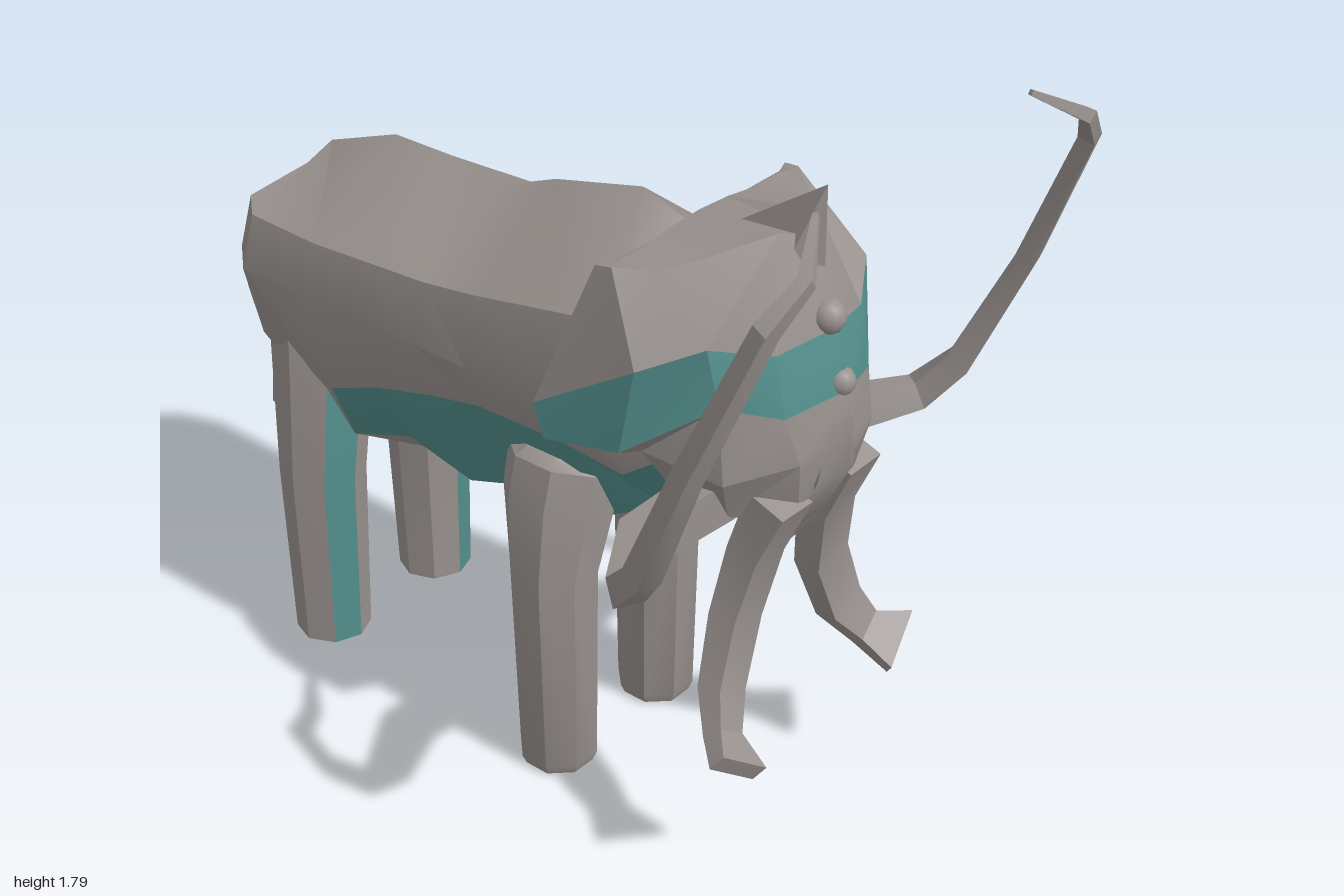
import * as THREE from 'three';
import { toCreasedNormals } from 'three/addons/utils/BufferGeometryUtils.js';

const hide = new THREE.MeshStandardMaterial({ color: 0x99928f });
hide.name = 'grey hide';
const teal = new THREE.MeshStandardMaterial({ color: 0x538f8c });
teal.name = 'teal band';

// Skin a list of equal-length rings; painted(i, j) picks the teal faces. side = -1 mirrors in x.
function loft(name, rings, { painted = () => false, side = 1, crease = 0.55 } = {}) {
  const faces = [[], []];
  const tri = (k, a, b, c) => {
    for (const p of side > 0 ? [a, b, c] : [a, c, b]) faces[k].push(p[0] * side, p[1], p[2]);
  };
  const n = rings[0].length;
  for (let i = 0; i < rings.length - 1; i++) {
    for (let j = 0; j < n; j++) {
      const k = painted(i, j) ? 1 : 0, m = (j + 1) % n;
      tri(k, rings[i][j], rings[i][m], rings[i + 1][m]);
      tri(k, rings[i][j], rings[i + 1][m], rings[i + 1][j]);
    }
  }
  // End caps
  const middle = (ring) => [0, 1, 2].map((a) => ring.reduce((s, p) => s + p[a], 0) / n);
  const first = rings[0], last = rings[rings.length - 1];
  for (let j = 0; j < n; j++) {
    tri(0, middle(first), first[(j + 1) % n], first[j]);
    tri(0, middle(last), last[j], last[(j + 1) % n]);
  }
  const g = new THREE.BufferGeometry();
  g.setAttribute('position', new THREE.Float32BufferAttribute([...faces[0], ...faces[1]], 3));
  const split = faces[0].length / 3;
  g.addGroup(0, split, 0);
  if (faces[1].length) g.addGroup(split, faces[1].length / 3, 1);
  const mesh = new THREE.Mesh(toCreasedNormals(g, crease), faces[1].length ? [hide, teal] : hide);
  mesh.name = name;
  return mesh;
}

// Half outline (x >= 0) to a full symmetric ring
const mirrorRing = (half) => [
  ...half.map(([x, y, z]) => [-x, y, z]),
  ...half.filter((p) => p[0] > 0).reverse(),
];

// Sweep a polygon along a path of [x, y, z, halfWidth, halfDepth]; twist turns the polygon
function sweep(name, path, sides, { twist = 0, ...options } = {}) {
  const pts = path.map((p) => new THREE.Vector3(p[0], p[1], p[2]));
  const u = new THREE.Vector3(1, 0, 0);
  if (Math.abs(pts[1].x - pts[0].x) > 0.1) u.set(0, 1, 0);
  const rings = path.map((p, i) => {
    const t = pts[Math.min(i + 1, pts.length - 1)].clone().sub(pts[Math.max(i - 1, 0)]).normalize();
    u.addScaledVector(t, -u.dot(t)).normalize();
    const v = t.clone().cross(u);
    return Array.from({ length: sides }, (_, j) => {
      const a = ((j + 0.5) / sides) * Math.PI * 2 + twist, k = 1 / Math.cos(Math.PI / sides);
      return pts[i].clone().addScaledVector(u, Math.cos(a) * p[3] * k)
        .addScaledVector(v, Math.sin(a) * (p[4] ?? p[3]) * k).toArray();
    });
  });
  return loft(name, rings, options);
}

function makeBody() {
  // z, ridge y, shoulder x y, flank x y, band top x y, band bottom x y, keel y
  const stations = [
    [-0.85, 1.22, 0.2, 1.2, 0.24, 1.08, 0.23, 0.97, 0.18, 0.93, 0.92],
    [-0.77, 1.3, 0.27, 1.2, 0.31, 1.07, 0.26, 0.88, 0.21, 0.8, 0.8],
    [-0.55, 1.38, 0.28, 1.2, 0.31, 1.07, 0.25, 0.8, 0.18, 0.64, 0.62],
    [-0.38, 1.38, 0.28, 1.21, 0.31, 1.07, 0.26, 0.87, 0.16, 0.69, 0.57],
    [-0.2, 1.36, 0.28, 1.22, 0.31, 1.07, 0.265, 0.92, 0.14, 0.63, 0.56],
    [-0.05, 1.42, 0.28, 1.24, 0.31, 1.07, 0.265, 0.95, 0.14, 0.68, 0.64],
    [0.2, 1.48, 0.27, 1.28, 0.3, 1.08, 0.26, 0.95, 0.12, 0.69, 0.66],
    [0.35, 1.43, 0.26, 1.3, 0.28, 1.08, 0.24, 0.92, 0.08, 0.76, 0.73],
    [0.47, 1.36, 0.2, 1.25, 0.22, 1.1, 0.19, 1.0, 0.06, 0.95, 0.94],
  ];
  const rings = stations.map(([z, top, ax, ay, bx, by, cx, cy, dx, dy, keel]) =>
    mirrorRing([[0, top, z], [ax, ay, z], [bx, by, z], [cx, cy, z], [dx, dy, z], [0, keel, z]]));
  return loft('body', rings, {
    painted: (i, j) => i >= 2 && (j === 3 || j === 6 || (i >= 6 && (j === 4 || j === 5))),
  });
}

function makeHead() {
  // Rows from crown to chin; columns from face centre round the ear to the neck
  const rows = [
    [[0, 1.475, 0.355], [0.1, 1.47, 0.355], [0.2, 1.46, 0.36], [0.28, 1.46, 0.355], [0.3, 1.455, 0.345], [0.24, 1.44, 0.36]],
    [[0, 1.51, 0.64], [0.07, 1.53, 0.615], [0.25, 1.46, 0.46], [0.32, 1.47, 0.38], [0.325, 1.465, 0.34], [0.24, 1.4, 0.37]],
    [[0, 1.32, 0.72], [0.15, 1.3, 0.68], [0.28, 1.34, 0.6], [0.365, 1.28, 0.48], [0.375, 1.11, 0.21], [0.335, 1.13, 0.21]],
    [[0, 1.19, 0.765], [0.15, 1.16, 0.71], [0.26, 1.2, 0.62], [0.375, 1.08, 0.45], [0.385, 1.04, 0.25], [0.34, 1.05, 0.25]],
    [[0, 1.08, 0.775], [0.13, 1.05, 0.74], [0.25, 1.01, 0.63], [0.3, 1.05, 0.45], [0.33, 1.04, 0.27], [0.22, 1.04, 0.36]],
    [[0, 0.97, 0.755], [0.1, 0.93, 0.72], [0.2, 0.9, 0.61], [0.22, 0.93, 0.47], [0.2, 0.98, 0.42], [0.15, 0.98, 0.42]],
    [[0, 0.78, 0.63], [0.05, 0.8, 0.62], [0.09, 0.83, 0.57], [0.11, 0.87, 0.49], [0.1, 0.92, 0.44], [0.08, 0.92, 0.44]],
  ];
  const head = new THREE.Group();
  head.name = 'head';
  head.add(loft('skull', rows.map(mirrorRing), {
    crease: 0.4, painted: (i, j) => i === 2 && (j < 4 || j > 6),
  }));

  // Crest horn with a long sloping back
  head.add(loft('crestHorn', [
    [[0, 1.635, 0.68], [0.001, 1.635, 0.68], [0, 1.635, 0.68]],
    [[0, 1.45, 0.685], [0.05, 1.47, 0.63], [0, 1.45, 0.41]],
  ].map(mirrorRing), { crease: 0.1 }));

  // Nose ridge between the trunks
  head.add(loft('noseRidge', [
    [[0, 1.13, 0.775], [0.04, 1.12, 0.755], [0.04, 1.1, 0.65]],
    [[0, 1.0, 0.78], [0.07, 0.98, 0.745], [0.07, 0.96, 0.62]],
    [[0, 0.87, 0.715], [0.055, 0.86, 0.69], [0.05, 0.85, 0.57]],
    [[0, 0.75, 0.63], [0.02, 0.77, 0.62], [0.02, 0.79, 0.58]],
  ].map(mirrorRing)));

  // Forehead studs
  for (const [y, z, r] of [[1.34, 0.7, 0.04], [1.2, 0.74, 0.034]]) {
    const stud = new THREE.Mesh(new THREE.SphereGeometry(r, 12, 8), hide);
    stud.name = 'foreheadStud';
    stud.position.set(0, y, z);
    head.add(stud);
  }
  return head;
}

export function createModel() {
  const model = new THREE.Group();
  model.name = 'twoTrunkedMammoth';
  model.add(makeBody(), makeHead());

  // Tail
  model.add(sweep('tail', [
    [0, 1.09, -0.815, 0.13, 0.035], [0, 0.97, -0.875, 0.085, 0.04],
    [0, 0.8, -0.935, 0.05, 0.035], [0, 0.495, -0.965, 0.045, 0.035],
  ], 4));

  for (const side of [1, -1]) {
    const label = side > 0 ? 'left' : 'right';
    model.add(
      sweep(label + 'FrontLeg', [
        [0.185, 0, 0.115, 0.08], [0.185, 0.025, 0.115, 0.09], [0.19, 0.55, 0.105, 0.1],
        [0.165, 0.73, 0.1, 0.115, 0.128], [0.145, 0.83, 0.1, 0.11, 0.13], [0.14, 0.85, 0.1, 0.09, 0.1],
      ], 8, { side }),
      // Hind leg with a painted stripe down its front facet, which is turned slightly outward
      sweep(label + 'HindLeg', [
        [0.19, 0.03, -0.655, 0.088], [0.188, 0.5, -0.665, 0.1], [0.155, 0.84, -0.675, 0.11, 0.125],
        [0.15, 0.95, -0.69, 0.1, 0.11],
      ], 8, { side, twist: 0.35, painted: (i, j) => i < 2 && j === 5 }),
      // Trunk ending in a flared tip
      sweep(label + 'Trunk', [
        [0.125, 0.95, 0.69, 0.055, 0.05], [0.13, 0.8, 0.635, 0.055, 0.04], [0.16, 0.63, 0.61, 0.055, 0.035],
        [0.22, 0.47, 0.625, 0.052, 0.03], [0.27, 0.39, 0.67, 0.04, 0.025], [0.31, 0.36, 0.745, 0.075, 0.022],
      ], 4, { side }),
      // Long curling tusk
      sweep(label + 'Tusk', [
        [0.15, 0.955, 0.58, 0.05], [0.36, 0.875, 0.5, 0.045], [0.53, 0.885, 0.6, 0.034], [0.575, 0.98, 0.68, 0.03],
        [0.605, 1.28, 0.81, 0.024], [0.565, 1.63, 0.95, 0.02], [0.49, 1.71, 0.98, 0.015], [0.37, 1.78, 0.91, 0.006],
      ], 4, { side }),
    );
  }
  return model;
}
